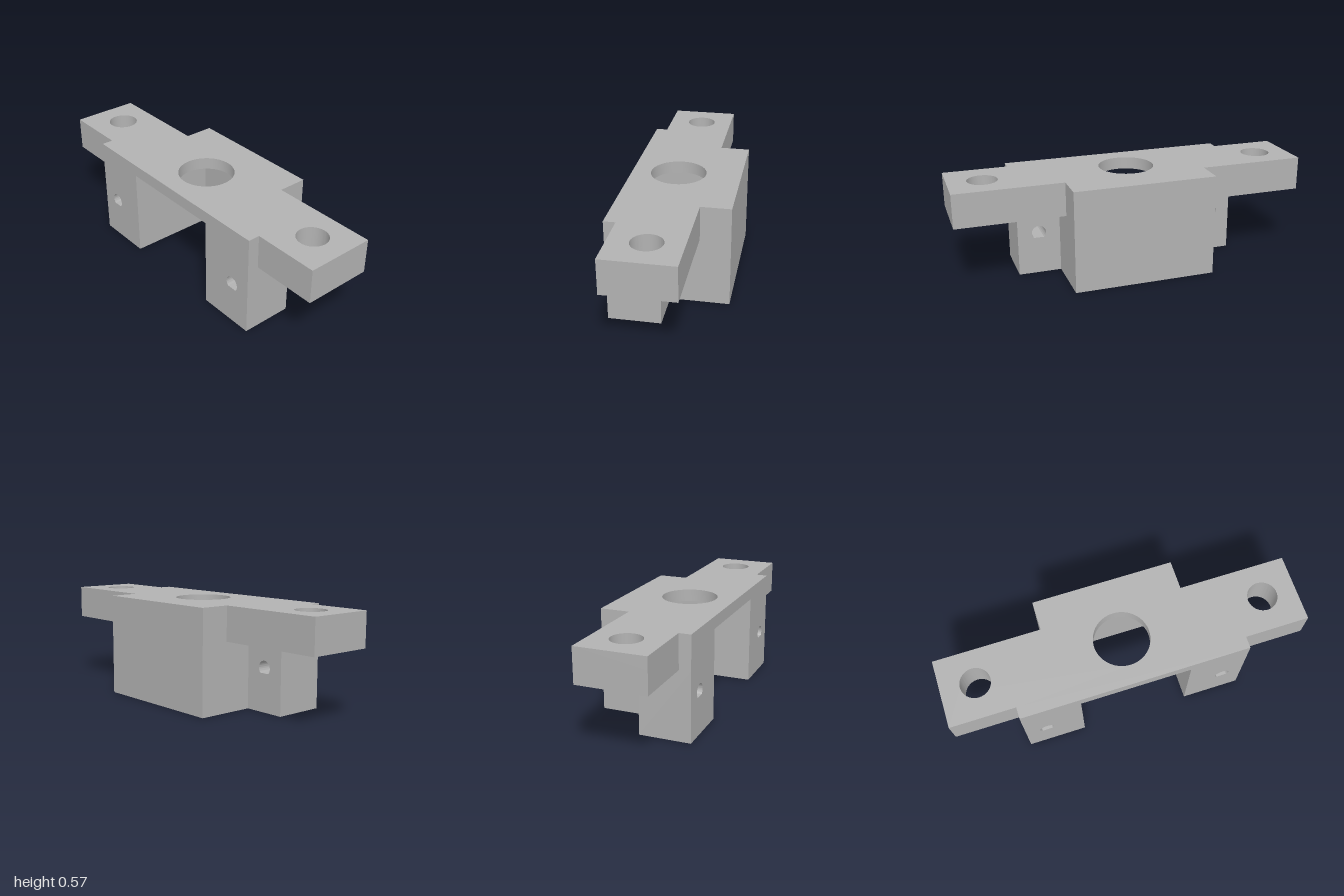
import * as THREE from 'three';
import { toCreasedNormals } from 'three/addons/utils/BufferGeometryUtils.js';

const TOP = 0.573, CEILING = 0.505, WING_BASE = 0.383;
const FRONT = 0.305, BACK = -0.305, HOLE_Z = 0.045;
const LEG_BACK = 0.02, LEG_IN = 0.31, LEG_OUT = 0.64, BACK_HALF = 0.4, CAVITY_BACK = -0.2;
const WING_FRONT = 0.24, WING_BACK = -0.14;

// Plan shape, symmetric in x, from the [x, z] points of its +x half
function planShape(half) {
  const mirrored = half.map(([x, z]) => [-x, z]).reverse();
  return new THREE.Shape([...half, ...mirrored].map(([x, z]) => new THREE.Vector2(x, -z)));
}

function roundHole(shape, x, z, radius) {
  shape.holes.push(new THREE.Path().absarc(x, -z, radius, 0, Math.PI * 2, true));
}

function extrude(shape, depth) {
  const geo = new THREE.ExtrudeGeometry(shape, { depth, bevelEnabled: false, curveSegments: 32 });
  return toCreasedNormals(geo, 0.5);
}

export function createModel() {
  const group = new THREE.Group();
  const grey = new THREE.MeshStandardMaterial({ color: 0xb2b2b2 });
  grey.name = 'grey';

  const add = (name, geometry) => {
    const mesh = new THREE.Mesh(geometry, grey);
    mesh.name = name;
    group.add(mesh);
  };
  const addLayer = (name, shape, y0, y1) => {
    add(name, extrude(shape, y1 - y0).rotateX(-Math.PI / 2).translate(0, y0, 0));
  };

  // Outer edge shared by the two upper layers, front to back
  const outer = [
    [LEG_OUT, FRONT], [LEG_OUT, WING_FRONT], [1, WING_FRONT],
    [1, WING_BACK], [BACK_HALF, WING_BACK], [BACK_HALF, BACK],
  ];
  const cavity = [[LEG_IN, CAVITY_BACK], [LEG_IN, FRONT]];

  // Top plate with the large centre hole
  const plate = planShape(outer);
  roundHole(plate, 0, HOLE_Z, 0.155);
  // Lower half of the wings, open around the cavity
  const wings = planShape([...cavity, ...outer]);
  for (const shape of [plate, wings]) {
    for (const side of [-1, 1]) roundHole(shape, side * 0.81, HOLE_Z, 0.083);
  }
  addLayer('topPlate', plate, CEILING, TOP);
  addLayer('mountingWings', wings, WING_BASE, CEILING);

  // Back wall and its short side walls
  const wall = planShape([
    [LEG_IN, CAVITY_BACK], [LEG_IN, LEG_BACK], [BACK_HALF, LEG_BACK], [BACK_HALF, BACK],
  ]);
  addLayer('backWall', wall, 0, WING_BASE);

  // Front legs, each with a teardrop hole pointing down
  for (const side of [-1, 1]) {
    const xs = [side * LEG_IN, side * LEG_OUT].sort((a, b) => a - b);
    const leg = new THREE.Shape([
      new THREE.Vector2(xs[0], 0), new THREE.Vector2(xs[1], 0),
      new THREE.Vector2(xs[1], WING_BASE), new THREE.Vector2(xs[0], WING_BASE),
    ]);
    const x = side * 0.52, y = 0.24, r = 0.04;
    const drop = new THREE.Path();
    drop.moveTo(x, y - r * Math.SQRT2);
    drop.absarc(x, y, r, -Math.PI / 4, Math.PI * 1.25, false);
    drop.closePath();
    leg.holes.push(drop);
    add(side > 0 ? 'leftLeg' : 'rightLeg', extrude(leg, FRONT - LEG_BACK).translate(0, 0, LEG_BACK));
  }

  return group;
}
